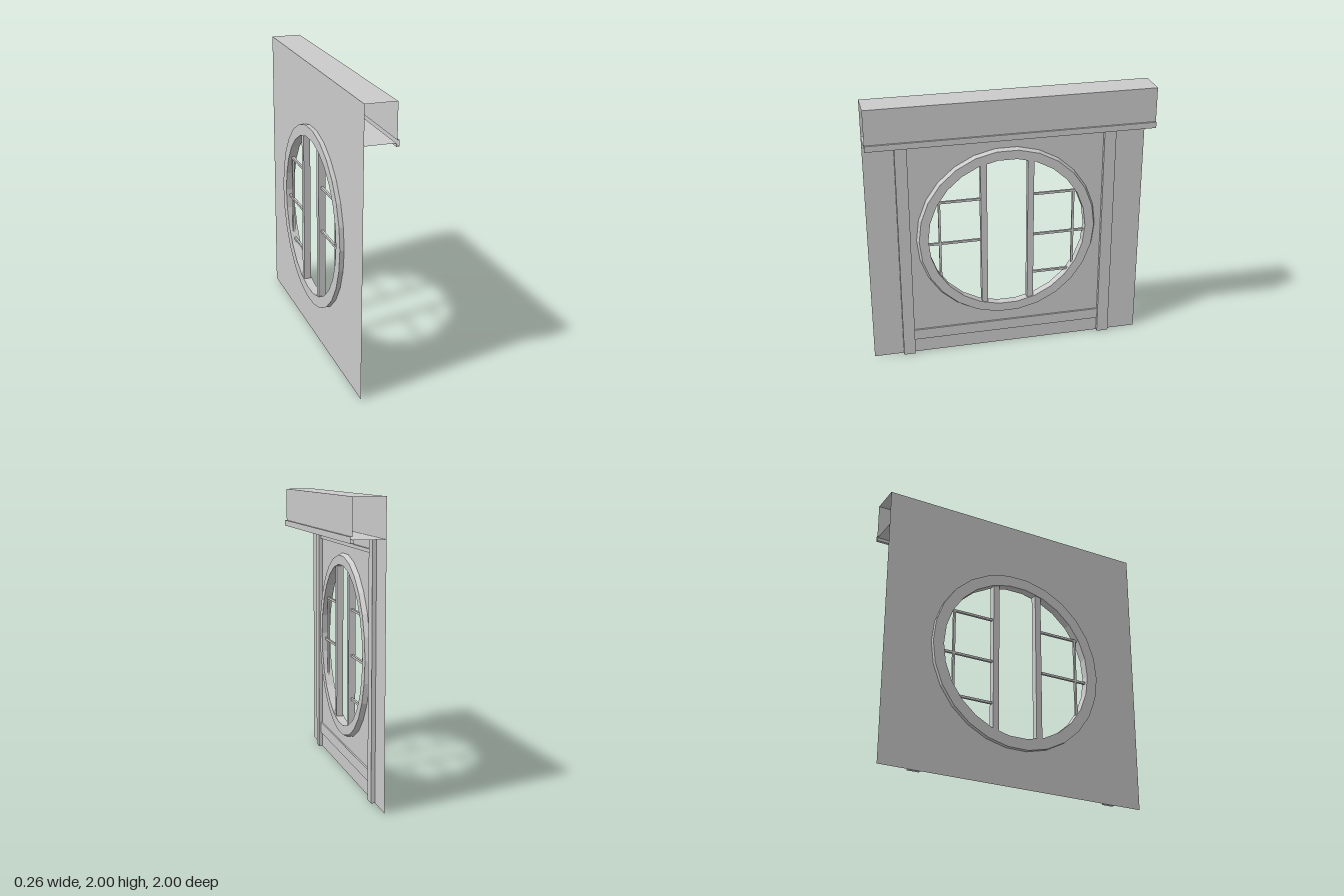
import * as THREE from 'three';

const WALL_X = -0.10, CY = 0.92, SIDES = 26;

export function createModel() {
  const group = new THREE.Group();
  const solid = new THREE.MeshStandardMaterial({ color: 0xcccccc, flatShading: true });
  const sheet = new THREE.MeshStandardMaterial({ color: 0xcccccc, flatShading: true, side: THREE.DoubleSide });

  const add = (name, geometry, material = solid) => {
    const mesh = new THREE.Mesh(geometry, material);
    mesh.name = name;
    group.add(mesh);
    return mesh;
  };
  // Box given by its limits on each axis
  const box = (name, x0, x1, y0, y1, z0, z1) =>
    add(name, new THREE.BoxGeometry(x1 - x0, y1 - y0, z1 - z0)
      .translate((x0 + x1) / 2, (y0 + y1) / 2, (z0 + z1) / 2));

  // Thin wall with a round opening
  const wall = new THREE.Shape([[-1, 0], [1, 0], [1, 2], [-1, 2]].map(p => new THREE.Vector2(...p)));
  const hole = [];
  for (let i = 0; i < SIDES; i++) {
    const a = -i / SIDES * Math.PI * 2;
    hole.push(new THREE.Vector2(0.61 * Math.cos(a), CY + 0.61 * Math.sin(a)));
  }
  wall.holes.push(new THREE.Path(hole));
  add('wall', new THREE.ShapeGeometry(wall).rotateY(Math.PI / 2).translate(WALL_X, 0, 0), sheet);

  // Overhanging header: folded sheet, open at both ends
  const fold = [[WALL_X, 2], [0.115, 2], [0.115, 1.757], [0.128, 1.757], [0.128, 1.715],
    [0.108, 1.715], [0.108, 1.738], [WALL_X, 1.738]];
  for (let i = 0; i < fold.length - 1; i++) {
    const [ax, ay] = fold[i], [bx, by] = fold[i + 1];
    add('header', new THREE.PlaneGeometry(Math.hypot(bx - ax, by - ay), 2)
      .rotateX(-Math.PI / 2)
      .rotateZ(Math.atan2(by - ay, bx - ax))
      .translate((ax + bx) / 2, (ay + by) / 2, 0), sheet);
  }

  // Round window frame with a chamfered front edge
  const profile = [[0.575, -0.03], [0.655, -0.03], [0.655, 0.002], [0.641, 0.032], [0.575, 0.032], [0.575, -0.03]]
    .map(p => new THREE.Vector2(...p));
  add('windowFrame', new THREE.LatheGeometry(profile, SIDES)
    .rotateZ(-Math.PI / 2).translate(WALL_X, CY, 0));

  // Pilasters and horizontal trim
  for (const s of [-1, 1]) {
    box('pilaster', WALL_X, -0.073, 0, 1.738, s * 0.7425 - 0.0425, s * 0.7425 + 0.0425);
  }
  box('upperTrim', WALL_X, -0.088, 1.63, 1.655, -0.70, 0.70);
  box('lowerTrim', WALL_X, -0.088, 0.11, 0.19, -0.70, 0.70);

  // Window posts and glazing bars
  const bar = (name, y0, y1, z0, z1) => box(name, WALL_X - 0.008, WALL_X + 0.008, y0, y1, z0, z1);
  for (const s of [-1, 1]) {
    box('windowPost', WALL_X - 0.024, WALL_X + 0.024, 0.36, 1.48, s * 0.17 - 0.0225, s * 0.17 + 0.0225);
    bar('uprightBar', 0.60, 1.205, s * 0.488 - 0.008, s * 0.488 + 0.008);
    const levels = s < 0 ? [[1.198, 0.52], [0.878, 0.59], [0.57, 0.48]] : [[1.198, 0.52], [0.878, 0.59]];
    for (const [y, reach] of levels) {
      const ends = [s * 0.19, s * reach];
      bar('crossBar', y - 0.008, y + 0.008, Math.min(...ends), Math.max(...ends));
    }
  }
  return group;
}
